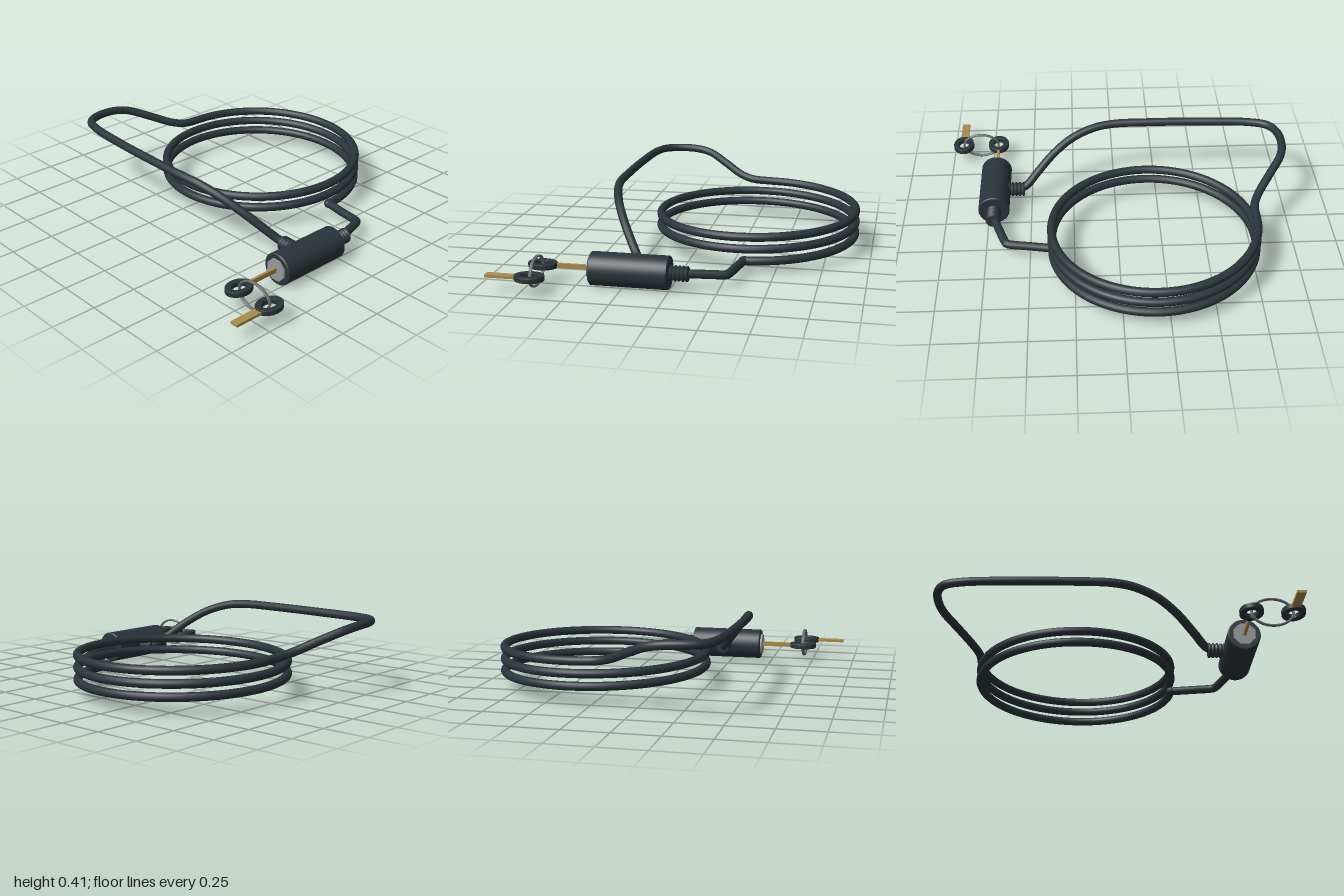
import * as THREE from 'three';

const mat = (name, color) => Object.assign(new THREE.MeshStandardMaterial({ color }), { name });
const V = (x, y, z) => new THREE.Vector3(x, y, z);

export function createModel() {
  const rubber = mat('dark rubber', 0x2b343b);
  const steel = mat('ring steel', 0x686d70);
  const plate = mat('pale metal', 0x969a9a);
  const brass = mat('brass', 0xab8b4b);
  const root = new THREE.Group();
  root.name = 'cableLock';
  const add = (name, geo, material, x = 0, y = 0, z = 0, parent = root) => {
    const m = new THREE.Mesh(geo, material);
    m.name = name;
    m.position.set(x, y, z);
    parent.add(m);
    return m;
  };
  const tube = (points, segments, radius, sides) => {
    const curve = new THREE.CatmullRomCurve3(points);
    curve.arcLengthDivisions = 2000;
    return new THREE.TubeGeometry(curve, segments, radius, sides);
  };

  const R = 0.024, axisX = 0.715, axisY = 0.092;

  // Cable: two and a half rising turns, then a loose loop back to the lock
  const path = [];
  for (let i = 0; i <= 100; i++) {
    const a = (i / 100) * Math.PI * 5;
    path.push(V(-0.195 + 0.57 * Math.cos(a), 0.07 + 0.168 * i / 100, -0.328 - 0.57 * Math.sin(a)));
  }
  path.push(
    V(-0.768, 0.245, -0.21), V(-0.80, 0.265, -0.13), V(-0.875, 0.315, -0.02),
    V(-0.955, 0.365, 0.1), V(-0.976, 0.382, 0.2), V(-0.965, 0.386, 0.32),
    V(-0.92, 0.386, 0.395), V(-0.82, 0.386, 0.43), V(-0.55, 0.385, 0.452),
    V(-0.2, 0.384, 0.459), V(0.0, 0.381, 0.455), V(0.12, 0.368, 0.435),
    V(0.25, 0.325, 0.395), V(0.36, 0.257, 0.34), V(0.46, 0.17, 0.272),
    V(0.53, 0.108, 0.222), V(0.58, axisY, 0.21));
  add('coiledCable', tube(path, 640, R, 14), rubber);
  add('cableEnd', new THREE.SphereGeometry(R, 14, 10), rubber, 0.375, 0.07, -0.328);

  // Short bent length from the coil to the back of the lock
  add('cableLead', tube([
    V(0.36, 0.07, -0.335), V(0.5, 0.071, -0.31), V(0.615, 0.073, -0.291), V(0.632, 0.074, -0.283),
    V(0.642, 0.075, -0.265), V(0.675, 0.083, -0.175), V(0.704, 0.09, -0.09), V(0.715, axisY, -0.05),
  ], 80, R, 14), rubber);

  // Lock barrel with a slight bevel, turned to lie along z
  const barrel = [[0, 0], [0.084, 0], [0.084, 0], [0.09, 0.005], [0.09, 0.005],
    [0.09, 0.42], [0.09, 0.42], [0.084, 0.425], [0.084, 0.425], [0, 0.425]];
  const lathe = (pts, n) => new THREE.LatheGeometry(pts.map(p => new THREE.Vector2(...p)), n);
  add('lockBarrel', lathe(barrel, 40).rotateX(Math.PI / 2), rubber, axisX, axisY, 0);
  add('lockFace', new THREE.CylinderGeometry(0.064, 0.064, 0.012, 8)
    .rotateY(Math.PI / 8).rotateX(Math.PI / 2), plate, axisX, axisY, 0.43);

  // Ribbed strain-relief collars
  const ribs = [[0, 0]];
  for (let i = 0; i < 5; i++) {
    const y = i * 0.021;
    ribs.push([0.035, y], [0.042, y + 0.004], [0.042, y + 0.012], [0.035, y + 0.016]);
  }
  ribs.push([0, 0.1]);
  const collar = lathe(ribs, 24);
  add('backCollar', collar.clone().rotateX(Math.PI / 2), rubber, axisX, axisY, -0.1);
  add('sideCollar', collar.clone().rotateZ(-Math.PI / 2), rubber, 0.54, axisY, 0.21);

  // Keys: oval open bow, brass blade
  const bow = new THREE.Shape().absellipse(0, 0, 0.063, 0.08, 0, Math.PI * 2);
  bow.holes.push(new THREE.Path().absellipse(0, 0, 0.031, 0.045, 0, Math.PI * 2, true));
  const bowGeo = new THREE.ExtrudeGeometry(bow, {
    depth: 0.02, curveSegments: 24, bevelThickness: 0.005, bevelSize: 0.004, bevelOffset: -0.004, bevelSegments: 2,
  }).translate(0, 0, -0.01).rotateX(Math.PI / 2);
  for (const [name, x, w, h, z0, z1] of [
    ['insertedKey', axisX, 0.015, 0.026, 0.425, 0.622],
    ['spareKey', 0.934, 0.047, 0.014, 0.758, 0.925],
  ]) {
    const key = new THREE.Group();
    key.name = name;
    key.position.set(x, 0.094, 0);
    root.add(key);
    add('keyBow', bowGeo, rubber, 0, 0, 0.69, key);
    add('keyBlade', new THREE.BoxGeometry(w, h, z1 - z0), brass, 0, 0, (z0 + z1) / 2, key);
  }

  // Split ring: two flat oval turns
  const ring = [];
  for (let i = 0; i <= 64; i++) {
    const a = (i / 64) * Math.PI * 4;
    ring.push(V(0.825 + 0.108 * Math.cos(a), 0.094 + 0.077 * Math.sin(a), 0.682 + 0.013 * i / 64));
  }
  add('splitRing', tube(ring, 128, 0.006, 8), steel);

  return root;
}
